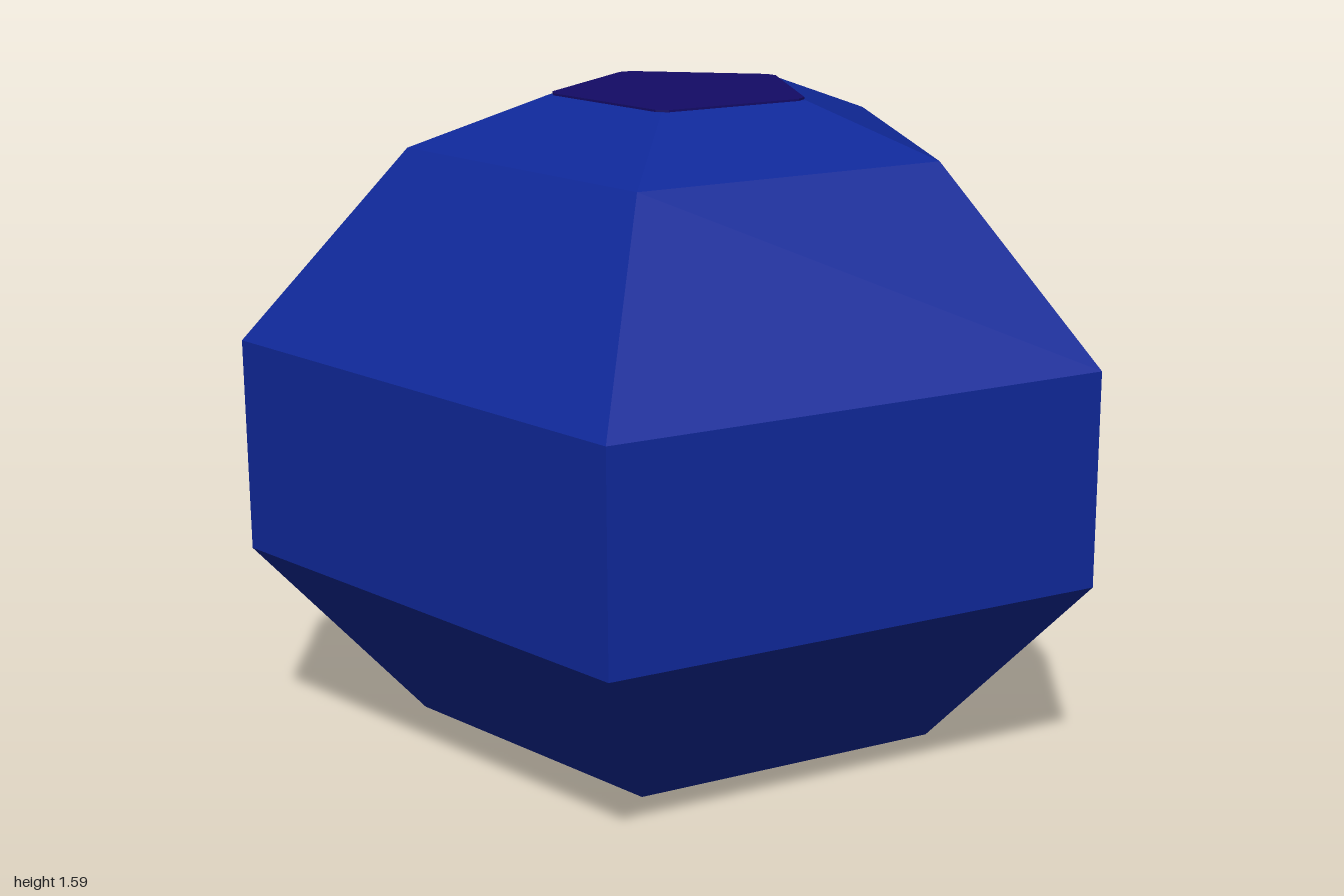
import * as THREE from 'three';

const CENTRE_Z = 0.1; // pentagon axis, so the depth is centred on z = 0

export function createModel() {
  const blue = new THREE.MeshStandardMaterial({ color: 0x0f2899 });
  blue.name = 'deep blue';
  const purple = new THREE.MeshStandardMaterial({ color: 0x130b66 });
  purple.name = 'dark purple';

  const model = new THREE.Group();
  model.name = 'facetedVessel';

  // Five-sided faceted body, from the shallow underside recess up to the top
  const profile = [
    [0, 0.03], [0.23, 0.03], [0.23, 0], [0.65, 0.065], [1.051, 0.505],
    [1.051, 1.02], [0.65, 1.465], [0.318, 1.58], [0, 1.58],
  ].map(([r, y]) => new THREE.Vector2(r, y));
  const bodyGeometry = new THREE.LatheGeometry(profile, 5, Math.PI).toNonIndexed();
  bodyGeometry.computeVertexNormals(); // flat facets
  const body = new THREE.Mesh(bodyGeometry, blue);
  body.name = 'body';
  body.position.z = CENTRE_Z;
  model.add(body);

  // Thin pentagonal top plate with slightly clipped corners
  const outline = new THREE.Shape();
  const corner = (k) => {
    const a = Math.PI / 2 + (k * 2 * Math.PI) / 5;
    return new THREE.Vector2(Math.cos(a), Math.sin(a)).multiplyScalar(0.318);
  };
  const points = [];
  for (let k = 0; k < 5; k++) {
    points.push(corner(k).lerp(corner(k - 1), 0.05), corner(k).lerp(corner(k + 1), 0.05));
  }
  outline.setFromPoints(points);
  const plate = new THREE.Mesh(
    new THREE.ExtrudeGeometry(outline, { depth: 0.006, bevelEnabled: false }), purple);
  plate.name = 'topPlate';
  plate.rotation.x = -Math.PI / 2;
  plate.position.set(0, 1.579, CENTRE_Z);
  model.add(plate);

  return model;
}
